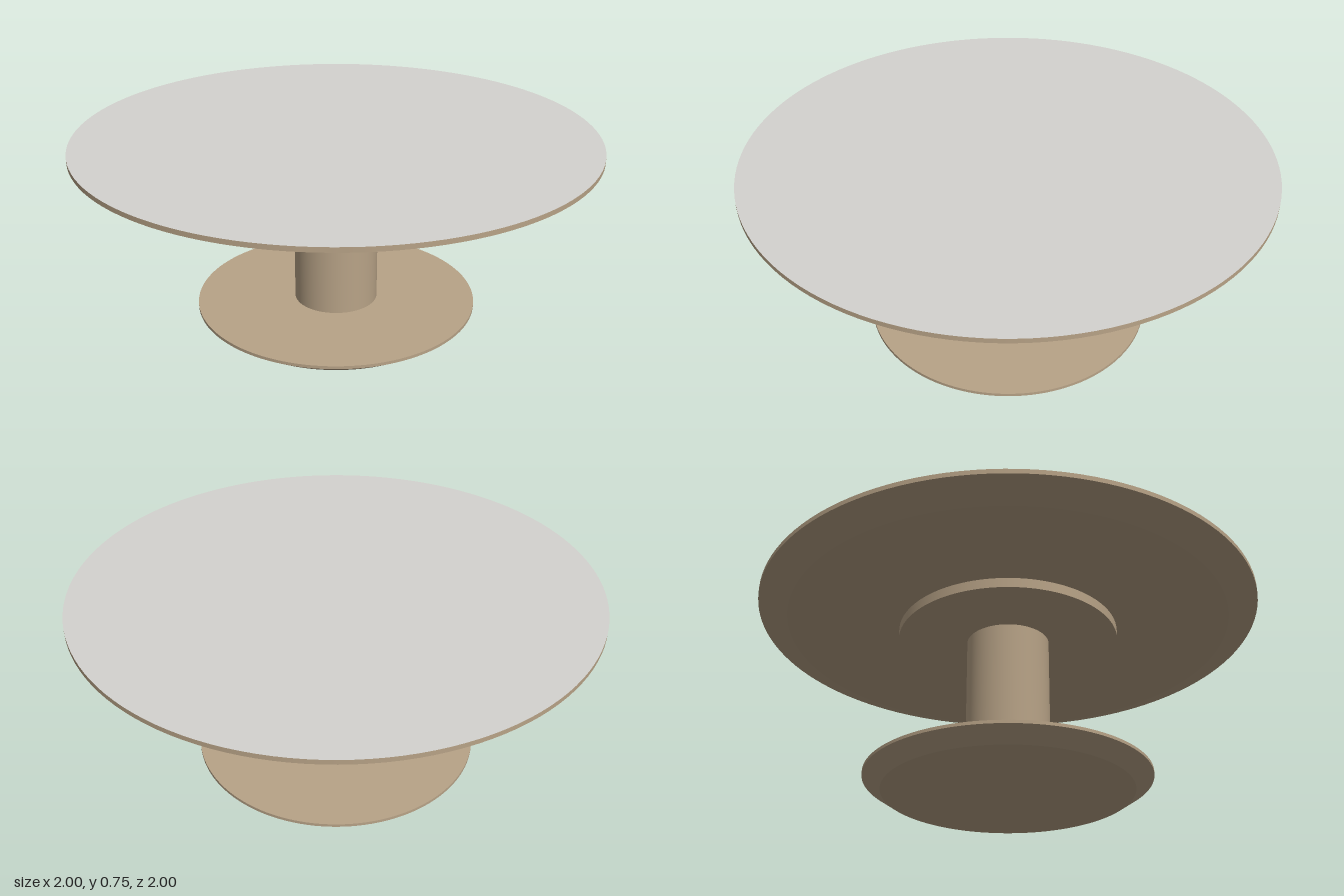
import * as THREE from 'three';

export function createModel() {
  const wood = new THREE.MeshStandardMaterial({ color: 0xb8a387 });
  wood.name = 'warm taupe';
  const stone = new THREE.MeshStandardMaterial({ color: 0xd4d3cf });
  stone.name = 'pale grey';

  const model = new THREE.Group();
  model.name = 'pedestalTable';

  // Turned section between two heights; crisp edges come from separate faces
  function turned(parent, name, rTop, rBottom, y0, y1, material = wood) {
    const geometry = new THREE.CylinderGeometry(rTop, rBottom, y1 - y0, 128);
    const mesh = new THREE.Mesh(geometry, material);
    mesh.name = name;
    mesh.position.y = (y0 + y1) / 2;
    parent.add(mesh);
  }

  // Round slab with an upright rim and an undercut bevel
  function slab(name, r, rUnder, y0, yRim, y1, topMaterial) {
    const group = new THREE.Group();
    group.name = name;
    turned(group, name + 'Bevel', r, rUnder, y0, yRim);
    turned(group, name + 'Rim', r, r, yRim, y1, [wood, topMaterial, wood]);
    model.add(group);
  }

  slab('base', 0.555, 0.485, 0, 0.048, 0.06, wood);
  turned(model, 'column', 0.165, 0.165, 0.06, 0.645);
  turned(model, 'supportPlate', 0.442, 0.442, 0.645, 0.684);
  slab('tabletop', 1, 0.885, 0.684, 0.727, 0.745, stone);

  return model;
}
